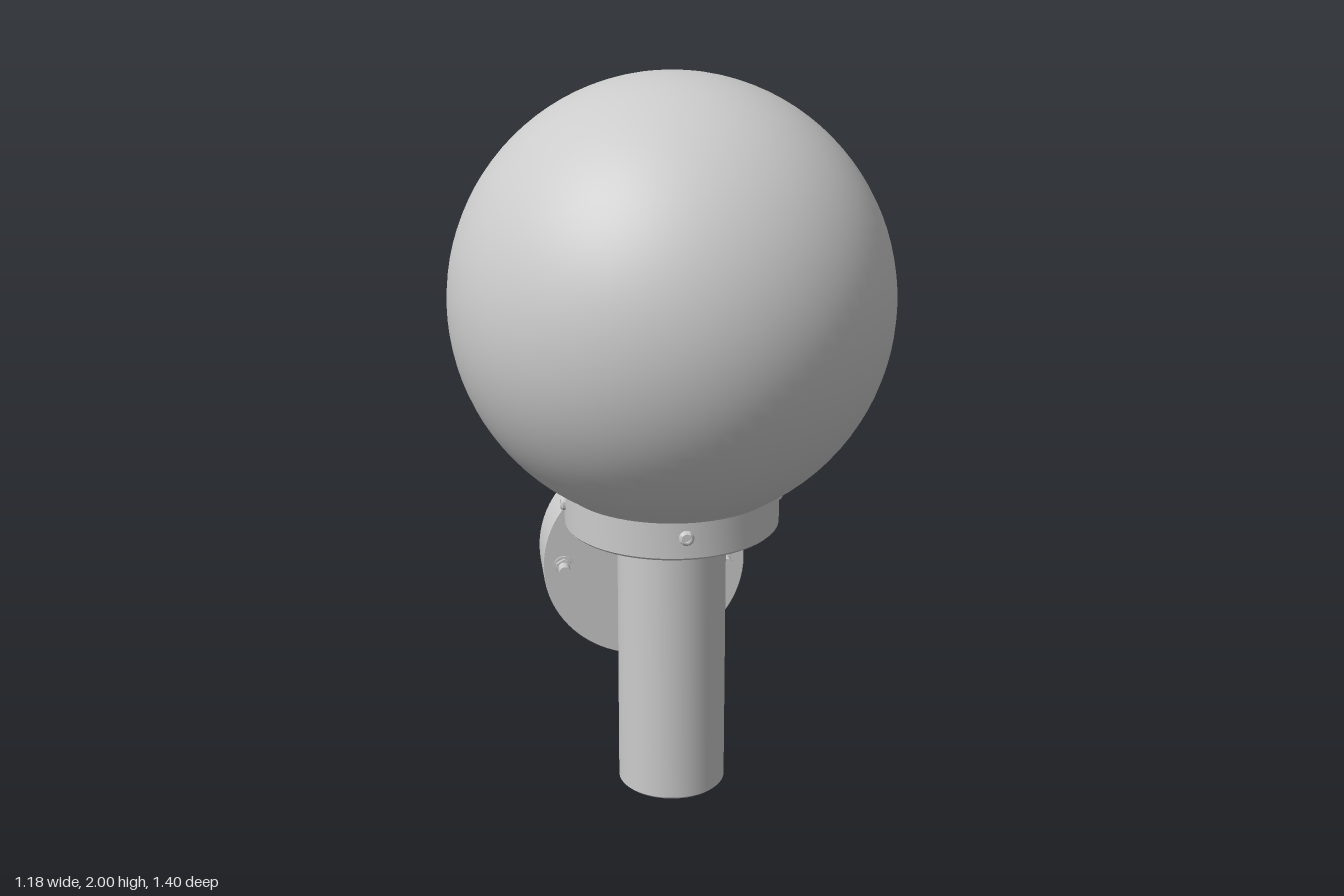
import * as THREE from 'three';
import { toCreasedNormals } from 'three/addons/utils/BufferGeometryUtils.js';

const material = new THREE.MeshStandardMaterial({ color: 0xcccccc });
const AXIS_Z = 0.11; // lamp column axis
const PLATE_Y = 0.388; // wall plate centre height

function add(parent, name, geometry, x = 0, y = 0, z = 0) {
  const mesh = new THREE.Mesh(geometry, material);
  mesh.name = name;
  mesh.position.set(x, y, z);
  parent.add(mesh);
  return mesh;
}

// Revolved profile of [radius, height] pairs, with sharp edges kept
function turned(profile, segments = 64) {
  const points = profile.map(([r, h]) => new THREE.Vector2(r, h));
  return toCreasedNormals(new THREE.LatheGeometry(points, segments), 0.6);
}

// Rod lying along z between two depths
function rodZ(radius, z0, z1, segments = 24) {
  return new THREE.CylinderGeometry(radius, radius, z1 - z0, segments)
    .rotateX(Math.PI / 2).translate(0, 0, (z0 + z1) / 2);
}

export function createModel() {
  const lamp = new THREE.Group();
  lamp.name = 'wallLamp';

  // Globe shade, open at the neck inside the collar
  const globe = [];
  const steps = 40, start = -1.04;
  for (let i = 0; i <= steps; i++) {
    const a = start + (Math.PI / 2 - start) * i / steps;
    globe.push(new THREE.Vector2(Math.max(0, 0.59 * Math.cos(a)), 1.405 + 0.595 * Math.sin(a)));
  }
  globe.unshift(new THREE.Vector2(0.275, 0.87));
  add(lamp, 'globe', new THREE.LatheGeometry(globe, 80), 0, 0, AXIS_Z);

  // Collar holding the globe
  add(lamp, 'collar', turned([
    [0, 0.78], [0.285, 0.78], [0.292, 0.787], [0.292, 0.902],
    [0.283, 0.902], [0.283, 0.80], [0, 0.80],
  ]), 0, 0, AXIS_Z);

  // Four set screws around the collar
  for (let i = 0; i < 4; i++) {
    const screw = new THREE.Group();
    screw.name = 'collarScrew';
    screw.position.set(0, 0.845, AXIS_Z);
    screw.rotation.y = i * Math.PI / 2;
    add(screw, 'screwHead', turned([[0, 0.28], [0.02, 0.28], [0.02, 0.298],
      [0.014, 0.304], [0.009, 0.304], [0.009, 0.298], [0, 0.298]], 20).rotateX(Math.PI / 2));
    lamp.add(screw);
  }

  // Vertical column
  add(lamp, 'column', turned([
    [0, 0], [0.143, 0], [0.149, 0.006], [0.149, 0.785], [0, 0.785],
  ]), 0, 0, AXIS_Z);

  // Two arms, ending just inside the plate
  for (const y of [0.48, 0.292]) add(lamp, 'arm', rodZ(0.035, -0.545, 0), 0, y, 0);

  // Hollow wall plate, open at the back
  add(lamp, 'wallPlate', turned([
    [0, -0.541], [0.308, -0.541], [0.308, -0.70], [0.313, -0.70],
    [0.313, -0.537], [0.311, -0.535], [0, -0.535],
  ], 80).rotateX(Math.PI / 2), 0, PLATE_Y, 0);

  // Mounting bolts: washer, hex nut and stud
  for (const side of [-1, 1]) {
    const bolt = new THREE.Group();
    bolt.name = side > 0 ? 'leftBolt' : 'rightBolt';
    bolt.position.set(side * 0.25, PLATE_Y, 0);
    add(bolt, 'washer', rodZ(0.031, -0.537, -0.529));
    add(bolt, 'nut', rodZ(0.026, -0.53, -0.517, 6));
    add(bolt, 'stud', rodZ(0.018, -0.537, -0.478, 20));
    lamp.add(bolt);
  }

  return lamp;
}
